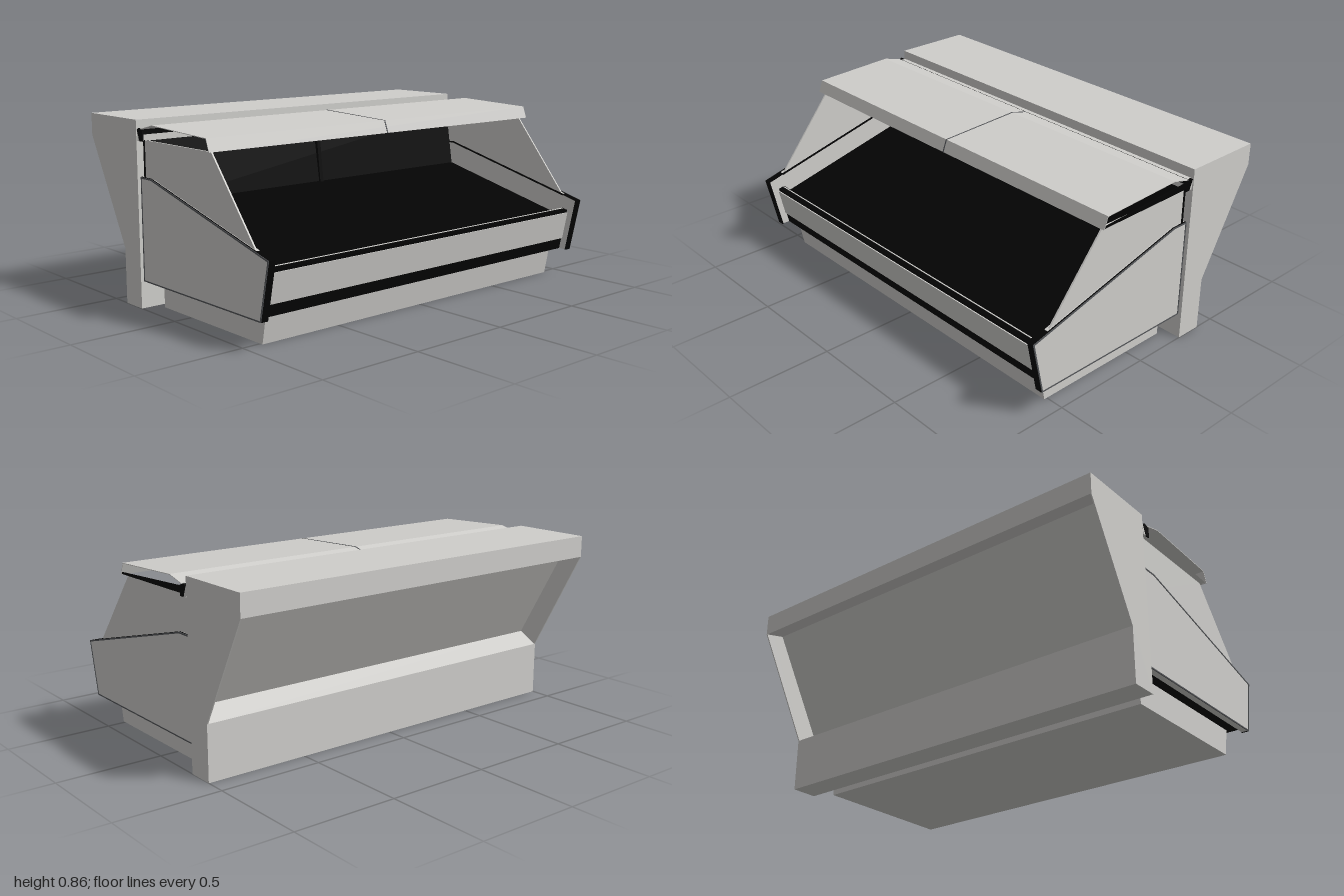
import * as THREE from 'three';

const mat = (name, color) => {
  const m = new THREE.MeshStandardMaterial({ color });
  m.name = name;
  return m;
};

export function createModel() {
  const grey = mat('painted steel', 0xcfcecb);
  const black = mat('black interior', 0x030303);
  const dark = mat('dark seam', 0x55575a);
  const root = new THREE.Group();
  root.name = 'displayCounter';

  const add = (name, geometry, material) => {
    const mesh = new THREE.Mesh(geometry, material);
    mesh.name = name;
    root.add(mesh);
    return mesh;
  };
  // Prism from a side profile of [z, y] points, running from x0 to x1
  const prism = (name, points, x0, x1, material) => {
    const shape = new THREE.Shape(points.map(([z, y]) => new THREE.Vector2(z, y)));
    const g = new THREE.ExtrudeGeometry(shape, { depth: x1 - x0, bevelEnabled: false });
    g.rotateY(-Math.PI / 2);
    g.translate(x1, 0, 0);
    return add(name, g, material);
  };
  const pair = (name, points, x0, x1, material) => {
    prism(name + 'Left', points, x0, x1, material);
    prism(name + 'Right', points, -x1, -x0, material);
  };

  // Rear housing: recessed back between two thin end plates
  prism('rearHousing', [
    [-0.27, 0], [-0.27, 0.863], [-0.667, 0.863], [-0.667, 0.76], [-0.569, 0.785],
    [-0.305, 0.31], [-0.40, 0.26], [-0.40, 0],
  ], -0.994, 0.994, grey);
  pair('rearEndPlate', [
    [-0.27, 0], [-0.27, 0.863], [-0.667, 0.863], [-0.667, 0.76], [-0.40, 0.26], [-0.40, 0],
  ], 0.994, 1, grey);

  // Plinth
  prism('plinth', [[0.515, 0], [0.54, 0.13], [-0.22, 0.13], [-0.22, 0]], -0.91, 0.91, grey);

  // Black tub: front lip, sloping deck and back wall
  prism('displayTub', [
    [0.57, 0.13], [0.612, 0.335], [0.58, 0.342], [0.576, 0.31], [0.54, 0.31], [-0.19, 0.49],
    [-0.235, 0.77], [-0.25, 0.77], [-0.25, 0.13],
  ], -0.955, 0.955, black);

  // Front fascia plate lying on the sloped tub front
  prism('frontFascia', [
    [0.581, 0.185], [0.587, 0.185], [0.615, 0.322], [0.609, 0.322],
  ], -0.955, 0.955, grey);

  // Air vents behind the front lip, and a rail on the lip
  for (let i = 0; i < 50; i++) {
    const g = new THREE.BoxGeometry(0.014, 0.004, 0.01);
    g.translate(-0.931 + i * 0.038, 0.311, 0.565);
    add('airVent', g, grey);
  }
  prism('ventRail', [[0.584, 0.339], [0.584, 0.343], [0.589, 0.342], [0.589, 0.338]], -0.95, 0.95, grey);

  // Lower side panels
  pair('sidePanel', [
    [0.61, 0.13], [0.665, 0.388], [-0.18, 0.605], [-0.26, 0.605], [-0.26, 0.13],
  ], 0.955, 0.988, grey);
  // Black front edge and the two thin lines along the sloping top
  pair('sidePanelFrontEdge', [
    [0.606, 0.128], [0.612, 0.128], [0.667, 0.389], [0.58, 0.413], [0.58, 0.409], [0.66, 0.387],
  ], 0.954, 0.987, black);
  const topLine = [
    [0.58, 0.406], [0.58, 0.413], [-0.18, 0.608], [-0.26, 0.608], [-0.26, 0.601], [-0.18, 0.601],
  ];
  pair('sidePanelInnerLine', topLine, 0.953, 0.96, black);
  pair('sidePanelOuterLine', topLine, 0.982, 0.987, black);
  // Dark outline on the outer face
  const outline = prism('sidePanelOutlineLeft', [
    [0.61, 0.128], [0.667, 0.389], [-0.18, 0.607], [-0.261, 0.607], [-0.261, 0.128],
  ], 0.986, 0.99, dark);
  const hole = [[0.605, 0.134], [0.659, 0.384], [-0.18, 0.6], [-0.255, 0.6], [-0.255, 0.134]];
  const frame = outline.geometry.parameters.shapes;
  frame.holes.push(new THREE.Path(hole.map(([z, y]) => new THREE.Vector2(z, y))));
  outline.geometry = new THREE.ExtrudeGeometry(frame, { depth: 0.004, bevelEnabled: false });
  outline.geometry.rotateY(-Math.PI / 2).translate(0.99, 0, 0);
  const mirrored = add('sidePanelOutlineRight', outline.geometry.clone(), dark);
  mirrored.position.x = -1.976;

  // Thin upper end panels standing in the middle of the lower ones
  pair('upperEndPanel', [
    [0.57, 0.405], [0.27, 0.773], [-0.245, 0.773], [-0.245, 0.5], [0.2, 0.45],
  ], 0.967, 0.975, grey);
  pair('panelBackPost', [[-0.24, 0.6], [-0.24, 0.773], [-0.247, 0.773], [-0.247, 0.6]], 0.955, 0.98, black);

  // Canopy: thin folded sheet, open at its ends
  prism('canopySheet', [
    [0.293, 0.775], [0.272, 0.832], [-0.14, 0.849], [-0.232, 0.826],
    [-0.232, 0.823], [-0.14, 0.846], [0.27, 0.829], [0.29, 0.775],
  ], -1, 1, grey);

  // Ceiling sheet, facing down only
  const ceiling = new THREE.PlaneGeometry(1.99, 0.524);
  ceiling.rotateX(Math.PI / 2 + 0.042);
  ceiling.translate(0, 0.789, 0.027);
  add('canopyCeiling', ceiling, grey);
  prism('ceilingEndTrim', [
    [0.288, 0.778], [0.288, 0.787], [-0.235, 0.814], [-0.235, 0.782],
  ], 0.993, 0.997, black);

  // Hinge bar behind the canopy
  prism('hingeBar', [[-0.24, 0.77], [-0.24, 0.819], [-0.268, 0.819], [-0.262, 0.77]], -0.998, 0.998, grey);
  pair('hingeCap', [[-0.22, 0.77], [-0.22, 0.818], [-0.25, 0.828], [-0.264, 0.82], [-0.245, 0.77]], 0.994, 1, black);
  prism('hingeGroove', [[-0.231, 0.8], [-0.231, 0.822], [-0.241, 0.822], [-0.241, 0.8]], -0.994, 0.994, black);

  // Centre seam over the canopy, and the post below it
  prism('canopySeam', [
    [0.295, 0.775], [0.273, 0.833], [-0.14, 0.8505], [-0.232, 0.8275],
    [-0.232, 0.824], [-0.14, 0.847], [0.27, 0.83], [0.29, 0.775],
  ], -0.003, 0.003, dark);
  prism('centrePost', [[-0.18, 0.485], [-0.215, 0.778], [-0.235, 0.778], [-0.2, 0.485]], -0.01, 0.01, black);

  return root;
}
